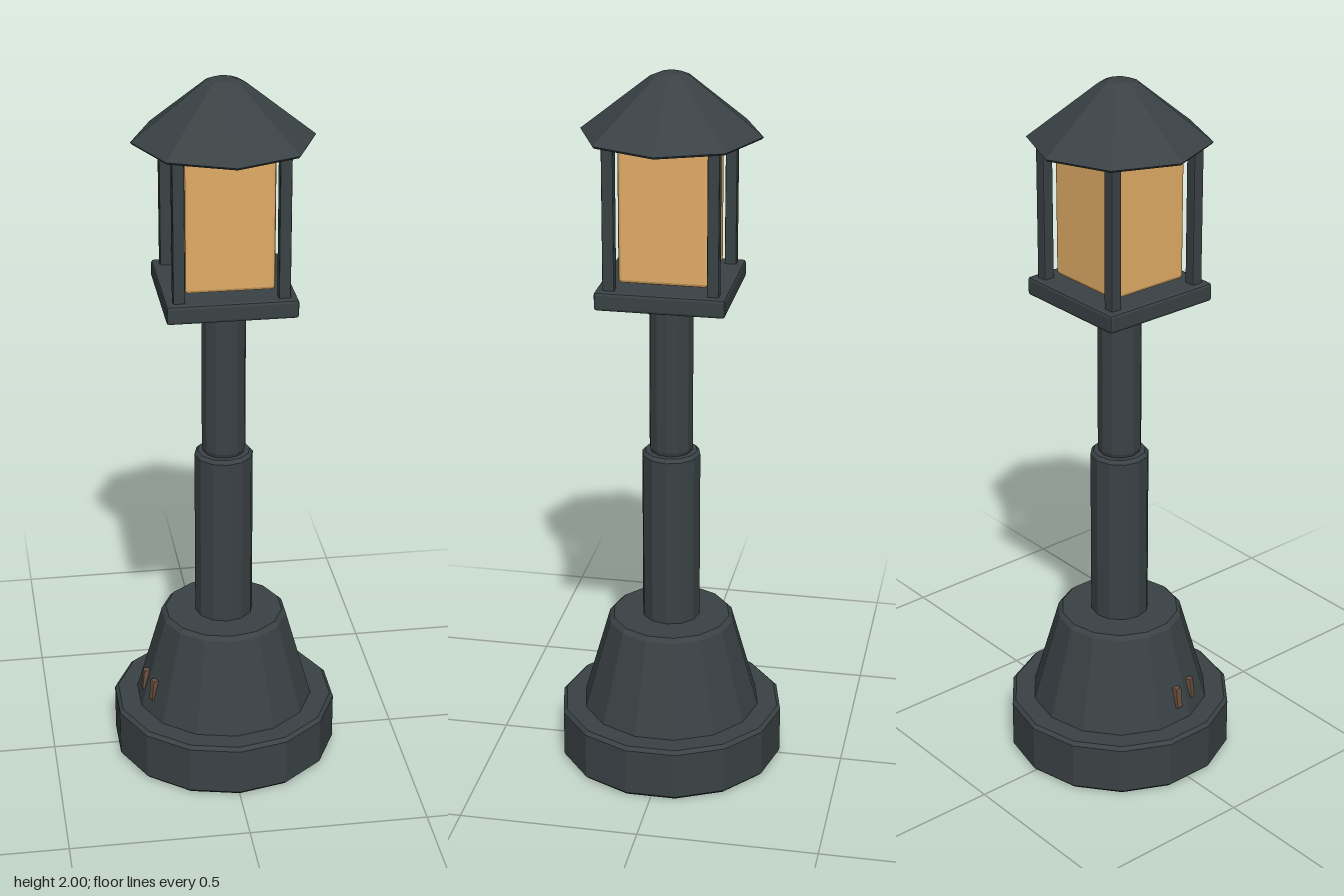
import * as THREE from 'three';
import { RoundedBoxGeometry } from 'three/addons/geometries/RoundedBoxGeometry.js';

const material = (color) => new THREE.MeshStandardMaterial({ color, flatShading: true });

export function createModel() {
  const model = new THREE.Group();
  model.name = 'lampPost';
  const iron = material(0x3a4245);
  const amber = material(0xe0ac66);
  const wood = material(0x6b5040);

  const add = (name, geometry, mat, x = 0, y = 0, z = 0) => {
    const mesh = new THREE.Mesh(geometry, mat);
    mesh.name = name;
    mesh.position.set(x, y, z);
    model.add(mesh);
    return mesh;
  };
  // Faceted turned part; profile is [radius, height], bottom to top
  const turned = (name, sides, profile) =>
    add(name, new THREE.LatheGeometry(profile.map(([r, y]) => new THREE.Vector2(r, y)), sides), iron);
  // Box with narrow bevelled edges
  const bevelled = (w, h, d, bevel) => new RoundedBoxGeometry(w, h, d, 1, bevel);

  // Plinth and tapered foot
  turned('plinth', 14, [[0, 0], [0.31, 0], [0.32, 0.01], [0.32, 0.145], [0.31, 0.155], [0, 0.155]]);
  turned('foot', 14, [[0, 0.15], [0.255, 0.15], [0.179, 0.42], [0.167, 0.432], [0, 0.432]]);

  // Two-stage pole
  turned('lowerPole', 12, [[0, 0.42], [0.082, 0.42], [0.082, 0.927], [0.073, 0.937], [0, 0.937]]);
  turned('upperPole', 12, [[0, 0.93], [0.055, 0.93], [0.061, 0.948], [0.061, 1.4], [0, 1.4]]);

  // Lantern: platform, glass on a short neck, corner posts
  add('platform', bevelled(0.352, 0.052, 0.352, 0.008), iron, 0, 1.419, 0);
  turned('lanternNeck', 12, [[0, 1.44], [0.06, 1.44], [0.06, 1.465], [0, 1.465]]);
  add('lanternGlass', bevelled(0.242, 0.385, 0.242, 0.01), amber, 0, 1.648, 0);
  for (const x of [-0.14, 0.14]) {
    for (const z of [-0.14, 0.14]) {
      add('cornerPost', bevelled(0.032, 0.42, 0.032, 0.004), iron, x, 1.648, z);
    }
  }

  // Eight-sided roof
  turned('roof', 8, [[0, 1.834], [0.24, 1.834], [0.245, 1.84], [0.056, 1.99], [0.032, 2], [0, 2]]);

  // Two small blocks leaning against the foot
  for (const [x, z] of [[-0.23, 0.022], [-0.213, 0.083]]) {
    const block = add('footBlock', bevelled(0.02, 0.062, 0.02, 0.002), wood, x, 0.224, z);
    block.rotation.set(0, Math.atan2(z, -x), -0.1, 'YXZ');
  }

  return model;
}
